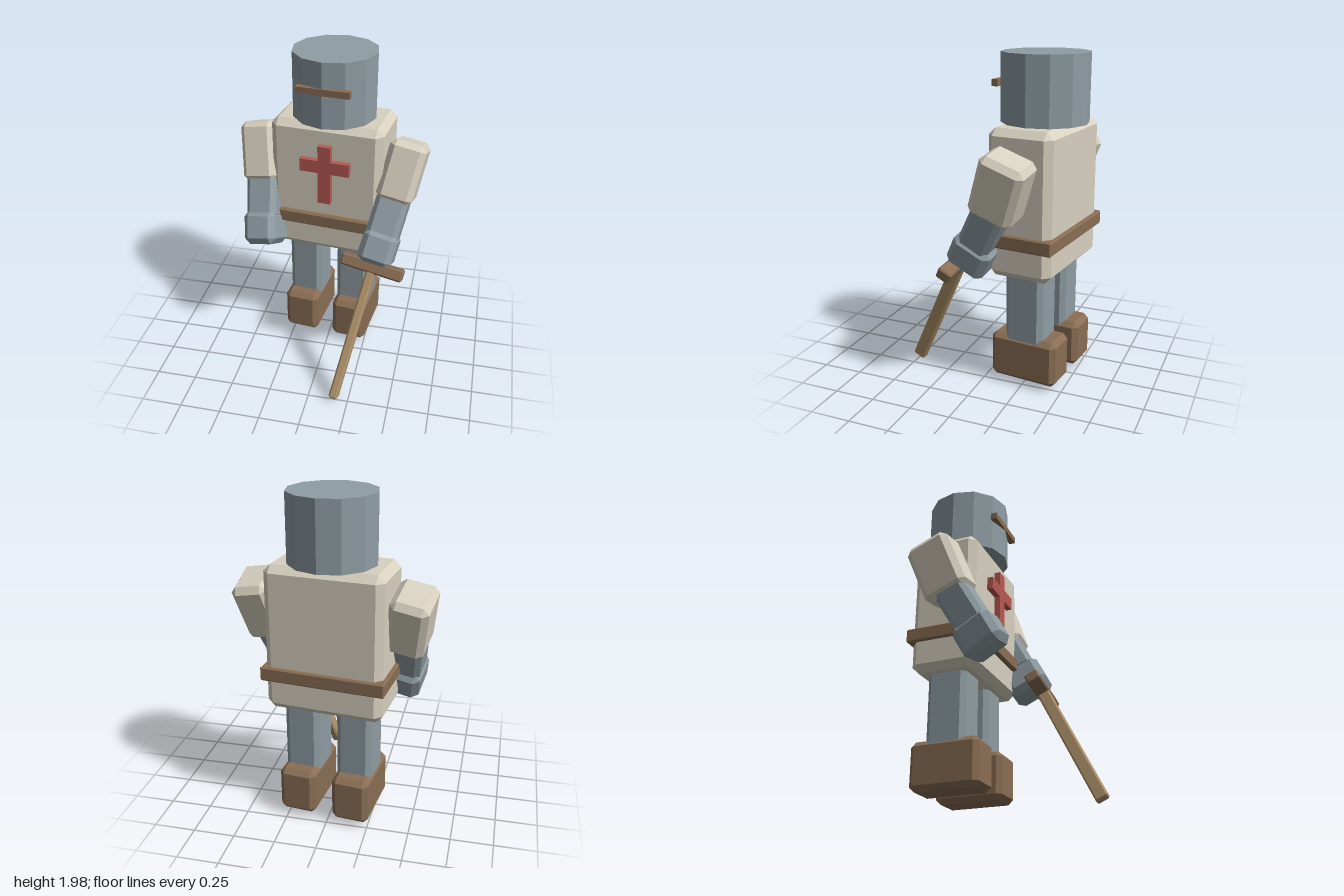
import * as THREE from 'three';
import { ConvexGeometry } from 'three/addons/geometries/ConvexGeometry.js';

const material = (name, color) => {
  const m = new THREE.MeshStandardMaterial({ color });
  m.name = name;
  return m;
};

// Box with every edge and corner cut off by c
function chamferBox(w, h, d, c) {
  const pts = [];
  for (const x of [-1, 1]) for (const y of [-1, 1]) for (const z of [-1, 1]) {
    const X = w / 2, Y = h / 2, Z = d / 2;
    pts.push(
      new THREE.Vector3(x * X, y * (Y - c), z * (Z - c)),
      new THREE.Vector3(x * (X - c), y * Y, z * (Z - c)),
      new THREE.Vector3(x * (X - c), y * (Y - c), z * Z));
  }
  return new ConvexGeometry(pts);
}

export function createModel() {
  const cloth = material('cream cloth', 0xd8d1c0);
  const steel = material('grey steel', 0x8f9da3);
  const leather = material('brown leather', 0x8a6e54);
  const wood = material('light wood', 0xb1946c);
  const red = material('red cloth', 0xb85a53);

  const model = new THREE.Group();
  model.name = 'knight';
  // The whole figure is turned slightly
  const body = new THREE.Group();
  body.name = 'body';
  body.position.z = -0.285;
  body.rotation.y = -0.11;
  model.add(body);

  function add(name, geometry, mat, x, y, z, pitch = 0, tilt = 0) {
    const mesh = new THREE.Mesh(geometry, mat);
    mesh.name = name;
    mesh.position.set(x, y, z);
    mesh.rotation.set(-pitch, 0, tilt, 'ZYX');
    body.add(mesh);
    return mesh;
  }

  // Helmet with visor bar
  const drum = new THREE.CylinderGeometry(0.258, 0.258, 0.4, 12).toNonIndexed();
  drum.computeVertexNormals();
  add('helmet', drum, steel, 0, 1.8, 0);
  add('visor', new THREE.BoxGeometry(0.325, 0.04, 0.04), leather, 0.004, 1.825, 0.242);

  // Tunic, belt and chest cross
  add('tunic', chamferBox(0.7, 0.87, 0.4, 0.042), cloth, 0, 1.165, 0);
  add('belt', chamferBox(0.74, 0.085, 0.45, 0.008), leather, 0, 0.957, 0.004);
  add('crossUpright', new THREE.BoxGeometry(0.08, 0.38, 0.05), red, 0.006, 1.285, 0.212);
  for (const s of [-1, 1])
    add('crossArm', new THREE.BoxGeometry(0.115, 0.08, 0.05), red, 0.006 + s * 0.0975, 1.34, 0.212);

  for (const s of [-1, 1]) {
    const side = s > 0 ? 'left' : 'right';
    // Legs and boots
    add(side + 'Leg', chamferBox(0.215, 0.5, 0.245, 0.03), steel, s * 0.162, 0.52, 0);
    add(side + 'Boot', chamferBox(0.225, 0.285, 0.425, 0.03), leather, s * 0.165, 0.193, 0);
    // Arms reach forward and lean in
    add(side + 'Sleeve', chamferBox(0.225, 0.375, 0.275, 0.035), cloth,
      s * 0.45, 1.3, 0.04, 0.345, -s * 0.17);
    add(side + 'Forearm', chamferBox(0.2, 0.33, 0.2, 0.03), steel,
      s * 0.405, 1.06, 0.163, 0.5, -s * 0.17);
    add(side + 'Hand', chamferBox(0.215, 0.215, 0.25, 0.038), steel,
      s * 0.375, 0.87, 0.265, 0.48, -s * 0.18);
  }

  // Wooden sword held point down in the left hand
  const sword = new THREE.Group();
  sword.name = 'sword';
  sword.position.set(0.363, 0.79, 0.367);
  sword.rotation.set(-0.475, 0, -0.155, 'ZYX');
  const guard = new THREE.Mesh(chamferBox(0.39, 0.075, 0.09, 0.01), leather);
  guard.name = 'guard';
  const blade = new THREE.Mesh(chamferBox(0.055, 0.86, 0.08, 0.01), wood);
  blade.name = 'blade';
  blade.position.y = -0.43;
  sword.add(guard, blade);
  body.add(sword);

  return model;
}
